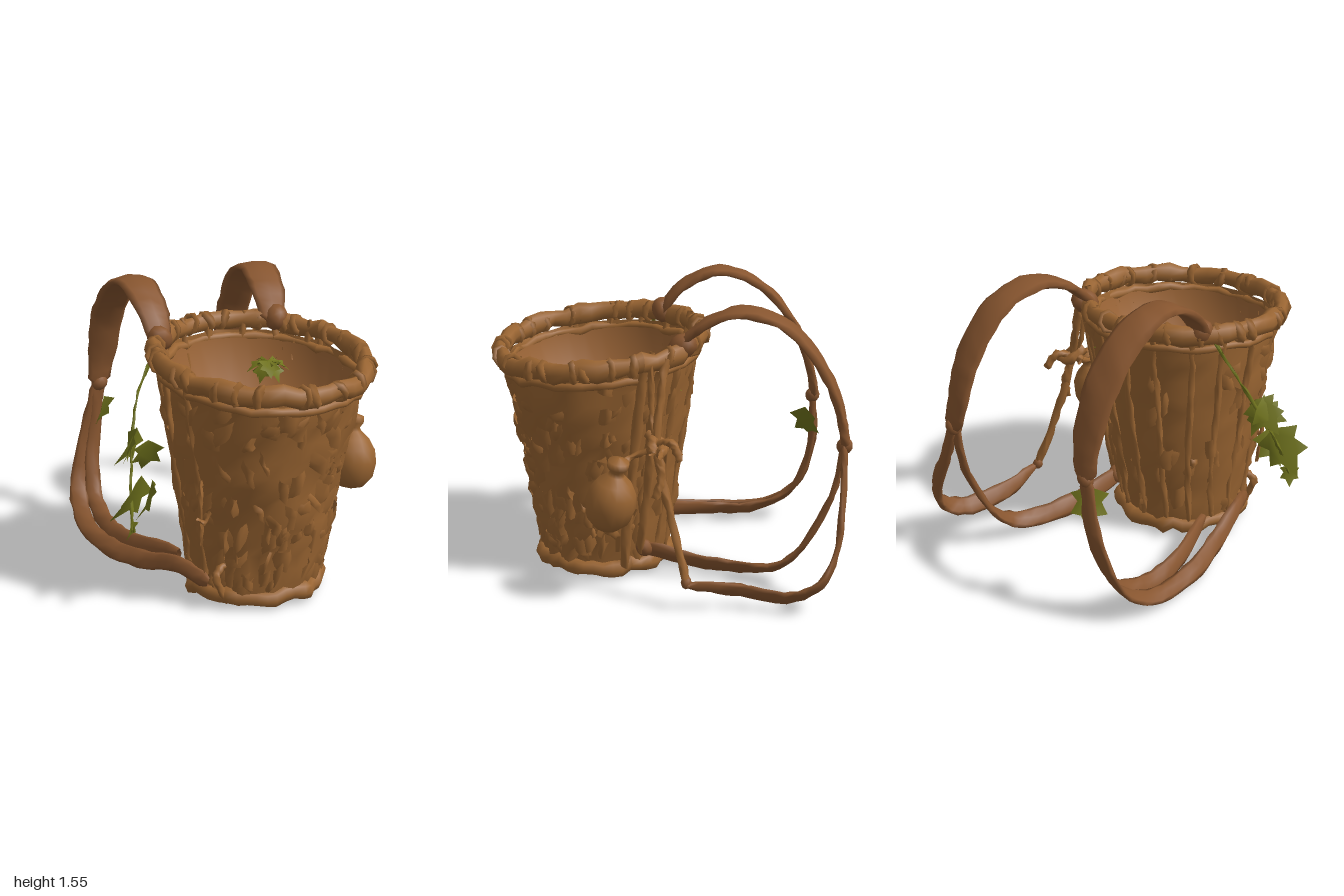
import * as THREE from 'three';
import { mergeGeometries } from 'three/addons/utils/BufferGeometryUtils.js';

let seed = 7;
const rnd = () => {
  seed = (seed * 16807) % 2147483647;
  return seed / 2147483647;
};
const jit = (a) => (rnd() - 0.5) * 2 * a;
const V = (x, y, z) => new THREE.Vector3(x, y, z);
const lerp = THREE.MathUtils.lerp;

const mat = (name, color) => {
  const m = new THREE.MeshStandardMaterial({ color, side: THREE.DoubleSide });
  m.name = name;
  return m;
};

// Indexed surface from fn(i, j); rings of nu points, closed when wrap is true
function sheet(nu, nv, wrap, fn) {
  const pos = [], idx = [];
  for (let j = 0; j < nv; j++) for (let i = 0; i < nu; i++) pos.push(...fn(i, j).toArray());
  const cols = wrap ? nu : nu - 1;
  for (let j = 0; j < nv - 1; j++) for (let i = 0; i < cols; i++) {
    const k = (i + 1) % nu, a = j * nu + i, b = j * nu + k, c = a + nu, d = b + nu;
    idx.push(a, c, b, b, c, d);
  }
  const g = new THREE.BufferGeometry();
  g.setAttribute('position', new THREE.Float32BufferAttribute(pos, 3));
  g.setIndex(idx);
  g.computeVertexNormals();
  return g;
}

// Point on the basket wall: angle a, height fraction t, outward offset
function wall(a, t, off = 0) {
  const r = lerp(0.335, 0.52, t) + off, z = lerp(0.35, 0.37, t) + r * Math.sin(a);
  return V(lerp(-0.235, -0.205, t) + r * Math.cos(a), lerp(0.05, 1.285 - 0.095 * z, t), z);
}

// Flattened tube through points [x, y, z, width]; the broad side turns from sideA to sideB
function ribbon(points, sideA, sideB, thick = 0.03, wob = 0.005) {
  const curve = new THREE.CatmullRomCurve3(points.map((p) => V(p[0], p[1], p[2])));
  const n = points.length * 4, sides = 8;
  const rings = [];
  for (let j = 0; j <= n; j++) {
    const t = j / n, f = t * (points.length - 1), k = Math.min(Math.floor(f), points.length - 2);
    const tan = curve.getTangent(t);
    const side = sideA.clone().lerp(sideB, t);
    side.addScaledVector(tan, -side.dot(tan)).normalize();
    const up = tan.clone().cross(side);
    const w = lerp(points[k][3], points[k + 1][3], f - k) / 2;
    rings.push({ c: curve.getPoint(t), side, up, w: j === 0 || j === n ? w * 0.5 : w });
  }
  return sheet(sides, n + 1, true, (i, j) => {
    const { c, side, up, w } = rings[j], a = (i / sides) * Math.PI * 2;
    return c.clone().addScaledVector(side, Math.cos(a) * w + jit(wob))
      .addScaledVector(up, Math.sin(a) * thick / 2 + jit(wob));
  });
}
const rope = (pts, w = 0.03) =>
  ribbon(pts.map((p) => [...p, w]), V(0.3, 0.1, 1), V(0.3, 0.1, 1), w, 0.006);

// Lumpy ring lying on the wall at height t
function lumpyRing(t, off, tube, tall, rough) {
  const bumps = Array.from({ length: 44 }, () => [jit(rough), jit(rough), 1 + jit(0.22)]);
  return sheet(8, 45, true, (i, j) => {
    const a = ((j % 44) / 44) * Math.PI * 2, b = (i / 8) * Math.PI * 2;
    const [dr, dy, s] = bumps[j % 44], lump = s * (1 + 0.12 * Math.sin(a * 11 + b));
    const p = wall(a, t, off + dr + Math.cos(b) * tube * lump);
    p.y += dy + Math.sin(b) * tall * lump;
    return p;
  });
}

// Broad, folded leaf with its stalk at the origin, pointing down
function leafGeo(s) {
  const half = [[0.1, -0.04], [0.48, -0.2], [0.3, -0.4], [0.46, -0.72], [0.2, -0.74]];
  const shape = new THREE.Shape([[0, 0], ...half, [0, -1.1], ...half.map(([x, y]) => [-x, y]).reverse()]
    .map(([x, y]) => new THREE.Vector2(x * s, y * s)));
  const g = new THREE.ShapeGeometry(shape), p = g.attributes.position;
  for (let i = 0; i < p.count; i++) p.setZ(i, Math.abs(p.getX(i)) * 0.35 - p.getY(i) * p.getY(i) * 0.8);
  g.computeVertexNormals();
  return g;
}

export function createModel() {
  seed = 7;
  const group = new THREE.Group();
  const wicker = mat('wicker', 0x9a6532);
  const lining = mat('lining', 0x9d6637);
  const strapMat = mat('strap leather', 0x87552f);
  const green = mat('leaf green', 0x6f721c);
  const add = (name, geo, m) => {
    const mesh = new THREE.Mesh(geo, m);
    mesh.name = name;
    group.add(mesh);
    return mesh;
  };

  // Uneven basket wall, calmer at the back
  add('basketWall', sheet(34, 15, true, (i, j) => {
    const a = (i / 34) * Math.PI * 2, back = Math.sin(a) < -0.2;
    return wall(a + jit(0.05), (j / 14) * 0.96 + (j % 14 ? jit(0.015) : 0), back ? jit(0.013) : jit(0.022));
  }), wicker);

  // Loose, crooked woven slats
  const slats = [];
  for (let k = 0; k < 290; k++) {
    const a = rnd() * Math.PI * 2, t = 0.05 + rnd() * 0.86;
    if (Math.sin(a) < -0.15 && rnd() < 0.7) continue;
    const span = 0.1 + rnd() * 0.24, h = 0.02 + rnd() * 0.035, tilt = jit(0.1), lift = 0.014 + rnd() * 0.02;
    slats.push(sheet(4, 3, false, (i, j) => {
      const u = i / 3 - 0.5, v = j - 1;
      return wall(a + u * span + jit(0.02), t + v * h + u * tilt + jit(0.01),
        lift * Math.cos(u * 4) - 0.008 * Math.abs(v) + jit(0.008));
    }));
  }
  add('wovenSlats', mergeGeometries(slats), wicker);

  // Upright canes at the back
  const canes = [];
  for (let k = 0; k < 9; k++) {
    const a = Math.PI * 1.04 + k * 0.36;
    const pts = [0.03, 0.3, 0.6, 0.9, 1.04].map((t) => wall(a + jit(0.04), t, jit(0.007)).toArray());
    canes.push(rope(pts, 0.034));
  }
  add('uprightCanes', mergeGeometries(canes), wicker);

  // Rim, base ring, bottom and the smooth lining
  add('rim', lumpyRing(1, 0.012, 0.042, 0.052, 0.008), wicker);
  add('lowerRim', lumpyRing(0.93, 0, 0.024, 0.024, 0.008), wicker);
  add('baseRing', lumpyRing(0.015, 0, 0.04, 0.045, 0.012), wicker);
  const bottom = add('bottom', new THREE.CircleGeometry(0.34, 28), wicker);
  bottom.rotation.x = Math.PI / 2;
  bottom.position.set(-0.235, 0.045, 0.35);
  add('lining', sheet(32, 6, true, (i, j) => {
    const a = (i / 32) * Math.PI * 2;
    if (j === 5) return wall(a, 0.93, -0.02);
    const p = wall(a, 0.71, -0.025), f = j / 4;
    return V(lerp(-0.21, p.x, f), lerp(0.84, p.y, f * f), lerp(0.365, p.z, f));
  }), lining);

  // Crooked rim wrappings
  const wraps = [];
  for (let k = 0; k < 26; k++) {
    const a = (k / 26) * Math.PI * 2 + jit(0.1);
    const g = new THREE.TorusGeometry(0.044, 0.013, 4, 7);
    g.scale(1, 1.16, 1.9);
    g.rotateX(jit(0.5));
    g.rotateY(-a + jit(0.5));
    const p = wall(a, 1, 0.012);
    g.translate(p.x, p.y, p.z);
    wraps.push(g);
  }
  add('rimWraps', mergeGeometries(wraps), wicker);

  // Left shoulder strap with its two lower strands
  const flat = V(0.84, 0, 0.54), high = V(0.2, 1, 0.2);
  add('leftStrap', ribbon([[0.22, 1.28, 0.13, 0.12], [0.31, 1.41, 0.02, 0.19], [0.43, 1.49, -0.14, 0.21],
    [0.57, 1.42, -0.34, 0.21], [0.67, 1.2, -0.49, 0.21], [0.71, 0.98, -0.57, 0.18], [0.74, 0.8, -0.59, 0.13]],
  flat, flat, 0.05), strapMat);
  add('leftOuterStrand', ribbon([[0.74, 0.84, -0.58, 0.08], [0.81, 0.62, -0.54, 0.08], [0.93, 0.33, -0.44, 0.1],
    [0.96, 0.17, -0.33, 0.11], [0.87, 0.09, -0.2, 0.11], [0.71, 0.11, 0.02, 0.1], [0.63, 0.15, 0.26, 0.05]],
  flat, high, 0.036), strapMat);
  add('leftInnerStrand', ribbon([[0.74, 0.84, -0.58, 0.08], [0.71, 0.55, -0.54, 0.08], [0.63, 0.25, -0.42, 0.09],
    [0.56, 0.12, -0.3, 0.1], [0.43, 0.09, -0.16, 0.11], [0.27, 0.11, 0.06, 0.11], [0.12, 0.18, 0.3, 0.1]],
  flat, high, 0.036), strapMat);

  // Right shoulder strap with its two lower strands
  const flatR = V(0.93, 0, 0.36);
  add('rightStrap', ribbon([[-0.45, 1.28, -0.08, 0.12], [-0.4, 1.43, -0.18, 0.18], [-0.32, 1.53, -0.36, 0.2],
    [-0.23, 1.48, -0.55, 0.21], [-0.14, 1.28, -0.73, 0.21], [-0.09, 1.0, -0.84, 0.18], [-0.09, 0.8, -0.88, 0.12]],
  flatR, flatR, 0.05), strapMat);
  add('rightOuterStrand', ribbon([[-0.09, 0.84, -0.87, 0.08], [-0.16, 0.5, -0.92, 0.09], [-0.28, 0.2, -0.88, 0.1],
    [-0.4, 0.08, -0.7, 0.1], [-0.51, 0.07, -0.42, 0.1], [-0.57, 0.11, -0.1, 0.1], [-0.61, 0.18, 0.15, 0.09],
    [-0.6, 0.13, 0.35, 0.08]], flatR, high, 0.036), strapMat);
  add('rightInnerStrand', ribbon([[-0.09, 0.84, -0.87, 0.08], [-0.13, 0.5, -0.89, 0.08], [-0.22, 0.2, -0.82, 0.09],
    [-0.32, 0.09, -0.63, 0.1], [-0.41, 0.09, -0.38, 0.1], [-0.45, 0.14, 0.02, 0.1]], flatR, high, 0.036), strapMat);

  // Knots where straps meet strands and rim
  for (const [x, y, z, s] of [[0.74, 0.81, -0.58, 0.05], [-0.09, 0.81, -0.87, 0.05], [0.26, 1.3, 0.11, 0.08],
    [-0.44, 1.31, -0.1, 0.075], [0.14, 0.17, 0.28, 0.055], [0.62, 0.16, 0.26, 0.035]]) {
    const knot = add('knot', new THREE.IcosahedronGeometry(s, 1), strapMat);
    knot.position.set(x, y, z);
    knot.rotation.set(x * 5, y * 3, z * 4);
    knot.scale.set(1, 0.85, 0.8);
  }

  // Hanging ropes down the left side
  add('hangingRope', mergeGeometries([
    rope([[0.34, 1.27, 0.24], [0.37, 1.1, 0.28], [0.42, 0.86, 0.33], [0.48, 0.6, 0.31], [0.55, 0.36, 0.28], [0.63, 0.14, 0.26]], 0.042),
    rope([[0.35, 1.25, 0.33], [0.36, 1.0, 0.33], [0.41, 0.84, 0.35], [0.36, 0.78, 0.45], [0.38, 0.76, 0.52]], 0.03),
    rope([[0.42, 0.86, 0.33], [0.5, 0.87, 0.28], [0.55, 0.79, 0.26]], 0.04),
    rope([[0.36, 0.9, 0.36], [0.43, 0.84, 0.3], [0.53, 0.84, 0.36]], 0.055),
    rope([[0.36, 0.84, 0.3], [0.42, 0.88, 0.35], [0.47, 0.82, 0.38]], 0.05),
    rope([[0.33, 1.22, 0.36], [0.29, 0.9, 0.38], [0.22, 0.5, 0.4], [0.14, 0.08, 0.4]], 0.05),
    rope([[0.33, 1.2, 0.28], [0.28, 0.85, 0.3], [0.22, 0.5, 0.3], [0.15, 0.15, 0.31]], 0.045),
    rope([[0.42, 0.84, 0.34], [0.46, 0.7, 0.32], [0.47, 0.58, 0.36]], 0.045),
  ]), wicker);

  // Gourd bottle
  const gourdProfile = [[0.001, -0.16], [0.065, -0.145], [0.115, -0.09], [0.132, -0.01], [0.122, 0.06],
    [0.09, 0.115], [0.045, 0.155], [0.035, 0.175], [0.055, 0.2], [0.055, 0.235], [0.001, 0.255]];
  const gourd = add('gourd', new THREE.LatheGeometry(gourdProfile.map(([x, y]) => new THREE.Vector2(x, y)), 14), wicker);
  gourd.position.set(0.36, 0.56, 0.56);
  gourd.rotation.set(-0.12, 0, -0.2);

  // Leafy vine on the right side
  add('vine', rope([[-0.5, 1.27, -0.08], [-0.63, 1.08, -0.08], [-0.74, 0.88, -0.03], [-0.82, 0.7, 0.03], [-0.9, 0.45, 0.1]], 0.012), green);
  const leaves = [[-0.72, 0.93, -0.02, 0.2, -0.6, 0.35], [-0.74, 0.9, -0.06, 0.18, -1.0, 0.9],
    [-0.72, 0.88, 0.06, 0.17, -0.1, -0.5], [-0.8, 0.72, 0.08, 0.25, -0.55, 0.2],
    [-0.77, 0.7, 0.12, 0.2, -0.2, 0.7], [-0.9, 0.51, 0.1, 0.11, 0, 0.3]];
  // Single leaf at the right strap
  leaves.push([-0.1, 0.74, -0.83, 0.2, 0.05, 0.35]);
  for (const [x, y, z, s, rz, ry] of leaves) {
    const leaf = add('leaf', leafGeo(s), green);
    leaf.position.set(x, y, z);
    leaf.rotation.set(0.2, ry, rz, 'YXZ');
  }
  // Sprig inside the rim
  for (let k = 0; k < 8; k++) {
    const leaf = add('sprigLeaf', leafGeo(0.12), green);
    leaf.position.set(0.12, 1.1, 0.17);
    leaf.rotation.set(-0.7 - (k % 2) * 0.5, k * 0.785, 0, 'YXZ');
  }

  // Loose twigs on the right side
  add('twigs', mergeGeometries([
    rope([[-0.66, 0.72, 0.35], [-0.68, 0.55, 0.36], [-0.66, 0.36, 0.34]], 0.022),
    rope([[-0.62, 0.6, 0.4], [-0.67, 0.5, 0.38], [-0.71, 0.53, 0.36]], 0.018),
    rope([[-0.56, 0.25, 0.42], [-0.63, 0.2, 0.42], [-0.57, 0.04, 0.44]], 0.04),
  ]), wicker);

  return group;
}
